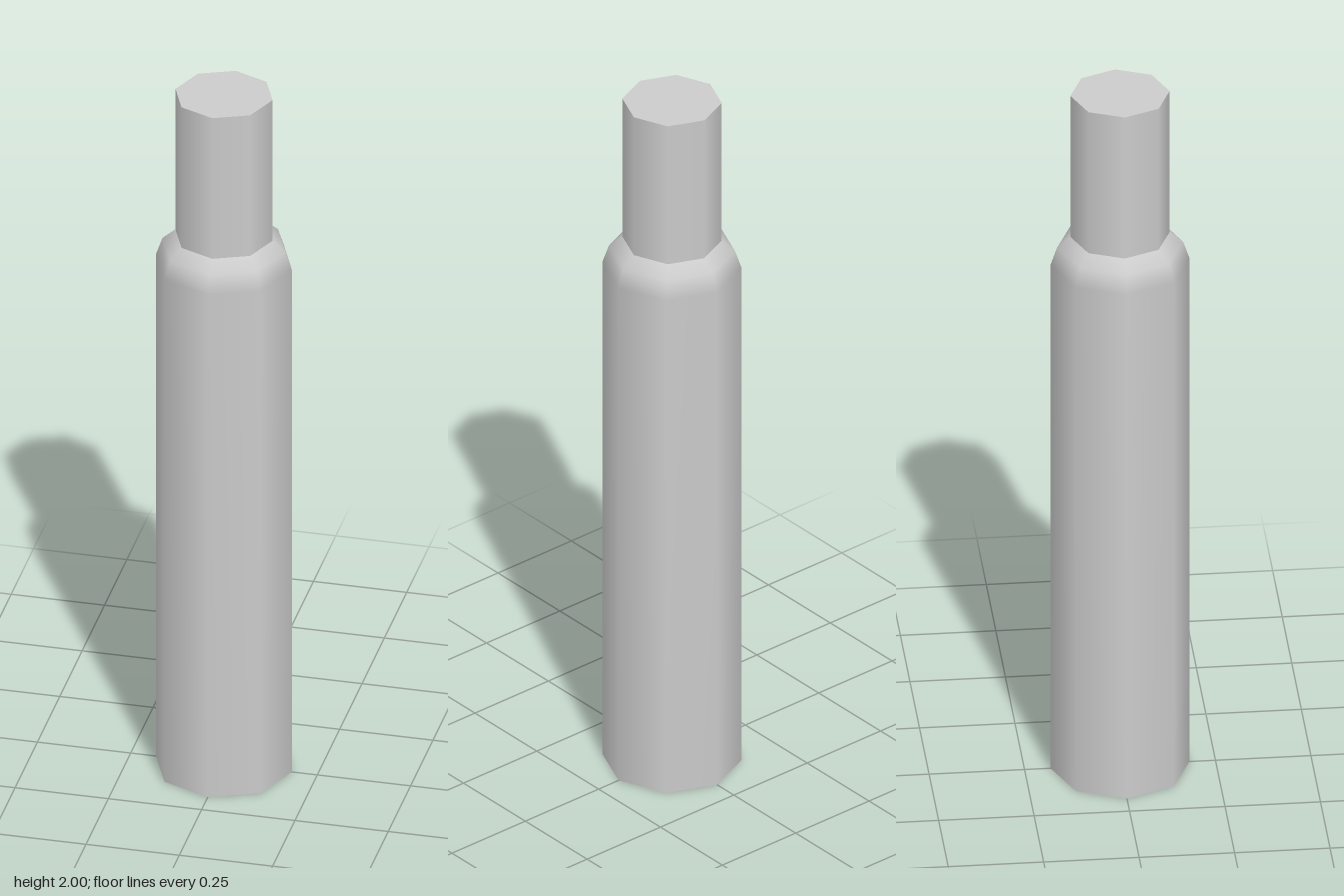
import * as THREE from 'three';

export function createModel() {
  const model = new THREE.Group();
  const material = new THREE.MeshStandardMaterial({ color: 0xcccccc });
  const sides = 8, bodyRadius = 0.182, neckRadius = 0.13;
  const shoulderY = 1.58, topY = 2;

  const add = (name, geometry, y = 0) => {
    const mesh = new THREE.Mesh(geometry, material);
    mesh.name = name;
    mesh.position.y = y;
    model.add(mesh);
    return mesh;
  };

  // Octagonal body with a rounded shoulder
  const profile = [
    [bodyRadius, 0], [bodyRadius, 1.5], [0.165, 1.55], [neckRadius, shoulderY],
  ].map(([r, y]) => new THREE.Vector2(r, y));
  add('body', new THREE.LatheGeometry(profile, sides));

  // Flat underside
  add('base', new THREE.CircleGeometry(bodyRadius, sides).rotateX(Math.PI / 2));

  // Narrow neck with a flat top
  const neckHeight = topY - shoulderY;
  add('neck', new THREE.CylinderGeometry(neckRadius, neckRadius, neckHeight, sides),
    shoulderY + neckHeight / 2);

  return model;
}
